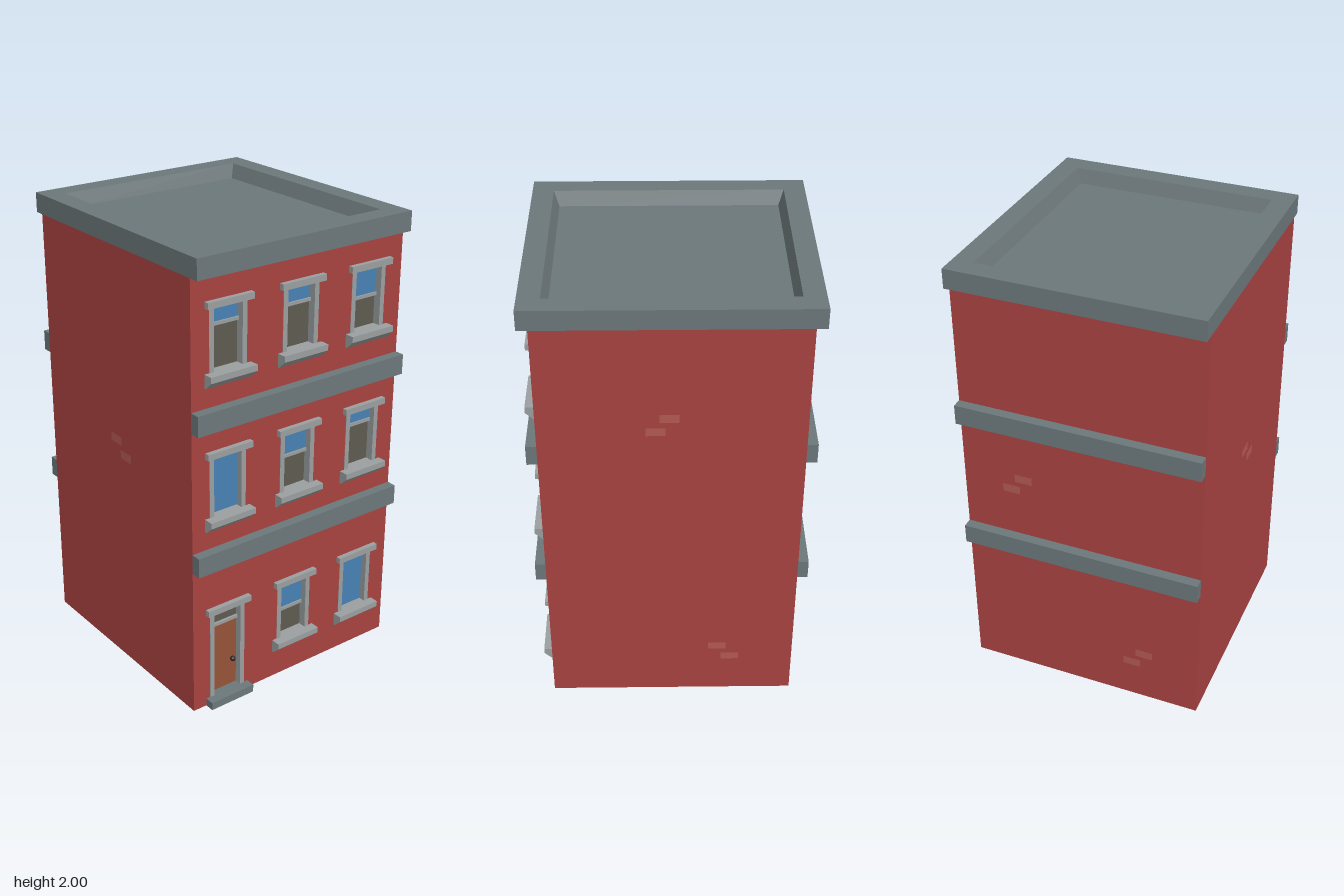
import * as THREE from 'three';

const W = 0.533, D = 0.577, H = 1.915, BACK = 0.49;
const mat = (color, side = THREE.FrontSide) =>
  new THREE.MeshStandardMaterial({ color, side, flatShading: true });
const brick = mat(0xa84341, THREE.DoubleSide), paleBrick = mat(0xb45a52);
const stone = mat(0x6c777a), trim = mat(0x9b9f9f);
const glass = mat(0x4781b4, THREE.DoubleSide), blind = mat(0x5e5b51, THREE.DoubleSide);
const wood = mat(0x955439, THREE.DoubleSide), metal = mat(0x33261f);

function add(parent, name, geometry, material, x = 0, y = 0, z = 0) {
  const mesh = new THREE.Mesh(geometry, material);
  mesh.name = name;
  mesh.position.set(x, y, z);
  parent.add(mesh);
  return mesh;
}

// Box given by its limits on each axis
function block(parent, name, material, x0, x1, y0, y1, z0, z1) {
  return add(parent, name, new THREE.BoxGeometry(x1 - x0, y1 - y0, z1 - z0), material,
    (x0 + x1) / 2, (y0 + y1) / 2, (z0 + z1) / 2);
}

function pane(parent, name, material, y0, y1, z) {
  add(parent, name, new THREE.PlaneGeometry(0.14, y1 - y0), material, 0, (y0 + y1) / 2, z);
}

// Stacked rectangular rings [halfX, y, halfZ] joined by quads, last one capped
function rectLoft(rings) {
  const corners = [[-1, 1], [1, 1], [1, -1], [-1, -1]];
  const pos = [], index = [];
  rings.forEach(([x, y, z]) => corners.forEach(([sx, sz]) => pos.push(sx * x, y, sz * z)));
  for (let r = 0; r < rings.length - 1; r++) {
    for (let j = 0; j < 4; j++) {
      const a = r * 4 + j, b = r * 4 + (j + 1) % 4;
      index.push(a, b, b + 4, a, b + 4, a + 4);
    }
  }
  const n = (rings.length - 1) * 4;
  index.push(n, n + 1, n + 2, n, n + 2, n + 3);
  const g = new THREE.BufferGeometry();
  g.setAttribute('position', new THREE.Float32BufferAttribute(pos, 3));
  g.setIndex(index);
  const flat = g.toNonIndexed();
  flat.computeVertexNormals();
  return flat;
}

// Jambs and lintel shared by windows and door; y runs from the sill top to the lintel
function surround(parent, y0, y1) {
  for (const s of [-1, 1]) {
    block(parent, 'jamb', trim, s * 0.079 - 0.011, s * 0.079 + 0.011, y0, y1, BACK, W + 0.002);
  }
  block(parent, 'lintel', trim, -0.11, 0.11, y1, y1 + 0.027, BACK, 0.555);
}

// Sill with a chamfered underside
function sillGeometry() {
  const s = new THREE.Shape([[BACK, 0], [BACK, -0.058], [0.541, -0.058], [0.575, -0.026], [0.575, 0]]
    .map(([z, y]) => new THREE.Vector2(-z, y)));
  const g = new THREE.ExtrudeGeometry(s, { depth: 0.224, bevelEnabled: false });
  return g.translate(0, 0, -0.112).rotateY(Math.PI / 2);
}

function makeWindow(y0, y1, rail) {
  const g = new THREE.Group();
  g.name = 'window';
  surround(g, y0, y1);
  add(g, 'sill', sillGeometry(), trim, 0, y0, 0);
  if (rail) {
    pane(g, 'upperGlass', glass, rail, y1, 0.505);
    pane(g, 'lowerBlind', blind, y0, rail, 0.5);
    block(g, 'sashRail', trim, -0.068, 0.068, rail - 0.007, rail + 0.007, 0.5, 0.512);
  } else pane(g, 'glass', glass, y0, y1, 0.505);
  return g;
}

function makeDoor(y1) {
  const g = new THREE.Group();
  g.name = 'door';
  surround(g, 0.035, y1);
  block(g, 'step', stone, -0.11, 0.11, 0, 0.035, BACK, 0.575);
  pane(g, 'doorLeaf', wood, 0.035, 0.37, 0.505);
  pane(g, 'transomPane', blind, 0.37, y1, 0.505);
  block(g, 'transomRail', trim, -0.068, 0.068, 0.363, 0.377, 0.5, 0.515);
  add(g, 'doorKnob', new THREE.SphereGeometry(0.012, 10, 8), metal, 0.044, 0.165, 0.515);
  return g;
}

export function createModel() {
  const model = new THREE.Group();
  model.name = 'townhouse';

  // Front wall with openings
  const front = new THREE.Shape([[-W, 0], [W, 0], [W, H], [-W, H]].map(p => new THREE.Vector2(...p)));
  const columns = [-0.358, 0, 0.355];
  const storeys = [
    { y0: 0.185, y1: 0.45, rails: ['door', 0.307, 0] },
    { y0: 0.9, y1: 1.165, rails: [0, 1.047, 1.088] },
    { y0: 1.523, y1: 1.785, rails: [1.705, 1.705, 1.655] },
  ];
  for (const { y0, y1, rails } of storeys) {
    rails.forEach((rail, i) => {
      const isDoor = rail === 'door', x = columns[i], bottom = isDoor ? 0.03 : y0;
      const opening = isDoor ? makeDoor(y1) : makeWindow(y0, y1, rail);
      opening.position.x = x;
      model.add(opening);
      front.holes.push(new THREE.Path([[-1, bottom], [-1, y1], [1, y1], [1, bottom]]
        .map(([s, y]) => new THREE.Vector2(x + s * 0.089, y))));
    });
  }
  add(model, 'frontWall', new THREE.ShapeGeometry(front), brick, 0, 0, W);

  // Plain back and side walls, open underneath, with a few pale bricks
  const walls = [
    ['leftWall', Math.PI / 2, [[-0.065, 1.448], [-0.01, 1.512], [0.2, 0.265], [0.257, 0.203]]],
    ['backWall', Math.PI, [[-0.26, 1.05], [-0.317, 0.99], [0.284, 0.25], [0.228, 0.19]]],
    ['rightWall', -Math.PI / 2, [[-0.006, 1.07], [0.063, 1.01]]],
  ];
  for (const [name, turn, bricks] of walls) {
    const side = new THREE.Group();
    side.name = name;
    side.rotation.y = turn;
    add(side, name + 'Surface', new THREE.PlaneGeometry(2 * W, H), brick, 0, H / 2, W);
    for (const [x, y] of bricks) {
      add(side, 'paleBrick', new THREE.PlaneGeometry(0.078, 0.038), paleBrick, x, y, W + 0.001);
    }
    model.add(side);
  }

  // Storey bands on front and back
  for (const [y0, y1] of [[0.673, 0.76], [1.292, 1.38]]) {
    block(model, 'frontBand', stone, -W, W, y0, y1, W, D);
    block(model, 'backBand', stone, -W, W, y0, y1, -D, -W);
  }

  // Cornice with sunken flat roof
  add(model, 'corniceAndRoof', rectLoft([
    [0, H, 0], [W, H, D], [W, 2, D], [0.443, 2, 0.487], [0.419, 1.94, 0.465],
  ]), stone);

  return model;
}
